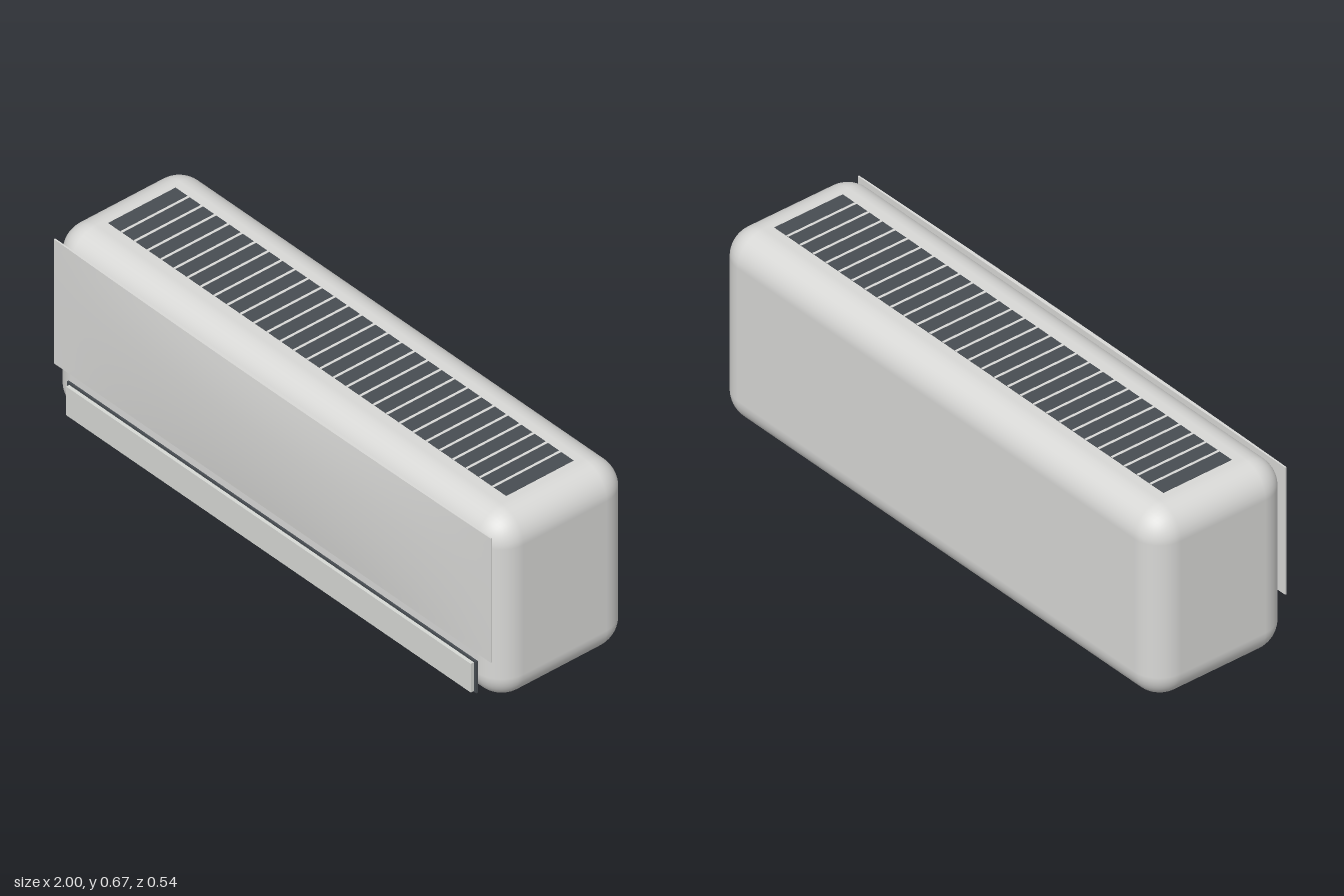
import * as THREE from 'three';
import { RoundedBoxGeometry } from 'three/addons/geometries/RoundedBoxGeometry.js';

const material = (name, color) => {
  const m = new THREE.MeshStandardMaterial({ color });
  m.name = name;
  return m;
};

export function createModel() {
  const shell = material('shell white', 0xd8d8d6);
  const flapWhite = material('flap white', 0xd6d8d4);
  const dark = material('vent charcoal', 0x484d52);

  const group = new THREE.Group();
  group.name = 'wallAirConditioner';

  const add = (name, geometry, mat, x, y, z, parent = group) => {
    const mesh = new THREE.Mesh(geometry, mat);
    mesh.name = name;
    mesh.position.set(x, y, z);
    parent.add(mesh);
    return mesh;
  };
  const box = (w, h, d) => new THREE.BoxGeometry(w, h, d);

  // Rounded housing
  add('housing', new RoundedBoxGeometry(2, 0.67, 0.52, 5, 0.098), shell, 0, 0.335, -0.012);

  // Front cover: a thin plate whose front bulges both ways, fullest above the middle
  const width = 1.944, bottom = 0.175, top = 0.63, height = top - bottom;
  const cover = new THREE.BoxGeometry(width, height, 0.005, 24, 16, 1);
  const pos = cover.attributes.position;
  for (let i = 0; i < pos.count; i++) {
    if (pos.getZ(i) < 0) continue;
    const u = pos.getX(i) / (width / 2);
    const v = (pos.getY(i) + height / 2) / height;
    const rise = v < 0.62 ? 1 - ((0.62 - v) / 0.62) ** 2 : 1 - 0.6 * ((v - 0.62) / 0.38) ** 2;
    pos.setZ(i, pos.getZ(i) + 0.019 * (1 - u * u) * rise);
  }
  cover.computeVertexNormals();
  add('frontCover', cover, shell, 0, (top + bottom) / 2, 0.2505);

  // Air outlet and the flap in front of it
  add('outlet', box(1.82, 0.115, 0.007), dark, 0, 0.0875, 0.2525);
  add('flap', box(1.8, 0.105, 0.012), flapWhite, 0, 0.0855, 0.262);

  // Intake grille on top
  const grille = new THREE.Group();
  grille.name = 'intakeGrille';
  group.add(grille);
  const cells = 30, pitch = 0.059;
  add('intake', box(cells * pitch, 0.004, 0.262), dark, 0, 0.669, -0.014, grille);
  for (let i = 1; i < cells; i++) {
    add('slat', box(0.009, 0.004, 0.262), shell, (i - cells / 2) * pitch, 0.6698, -0.014, grille);
  }

  return group;
}
